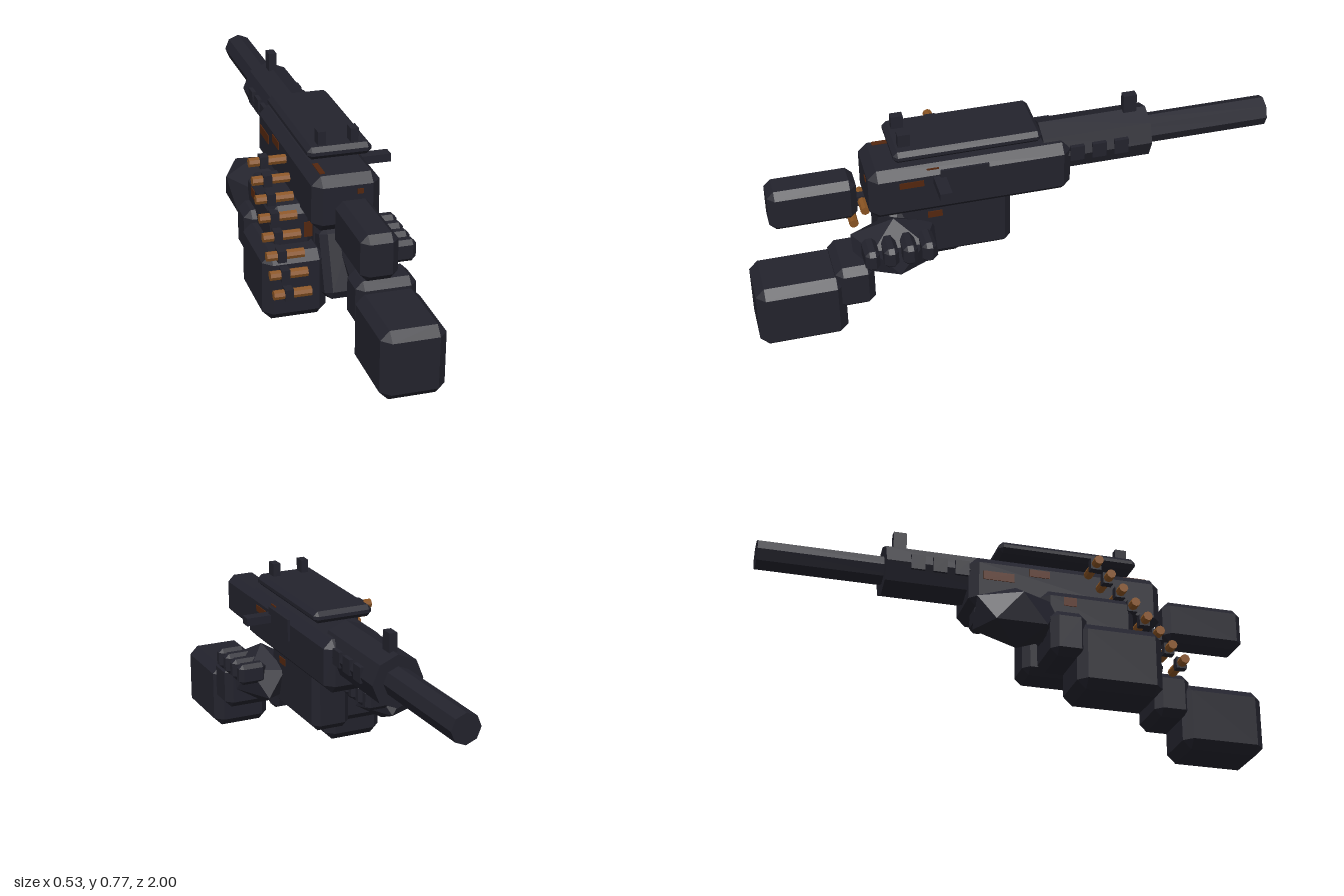
import * as THREE from 'three';
import { ConvexGeometry } from 'three/addons/geometries/ConvexGeometry.js';

const mat = (name, color) => {
  const m = new THREE.MeshStandardMaterial({ color, flatShading: true });
  m.name = name;
  return m;
};

export function createModel() {
  const root = new THREE.Group();
  root.name = 'heavyGun';
  const steel = mat('dark steel', 0x23232d);
  const brass = mat('brass', 0x8a5423);
  const rust = mat('rust', 0x54270f);

  const add = (name, geo, material, pos = [0, 0, 0], parent = root) => {
    const m = new THREE.Mesh(geo, material);
    m.name = name;
    m.position.set(...pos);
    parent.add(m);
    return m;
  };

  // Box given by its limits on each axis
  const size = (x, y, z) => [x[1] - x[0], y[1] - y[0], z[1] - z[0]];
  const mid = (x, y, z) => [(x[0] + x[1]) / 2, (y[0] + y[1]) / 2, (z[0] + z[1]) / 2];
  const box = (name, x, y, z, material = steel) =>
    add(name, new THREE.BoxGeometry(...size(x, y, z)), material, mid(x, y, z));

  // Box with bevelled edges and triangular corners
  const bevelled = (name, x, y, z, c) => {
    const h = size(x, y, z).map((v) => v / 2);
    const pts = [];
    for (const sx of [-1, 1]) for (const sy of [-1, 1]) for (const sz of [-1, 1]) {
      for (let k = 0; k < 3; k++) {
        const d = h.map((v, i) => (i === k ? v : v - c));
        pts.push(new THREE.Vector3(sx * d[0], sy * d[1], sz * d[2]));
      }
    }
    return add(name, new ConvexGeometry(pts), steel, mid(x, y, z));
  };

  // Eight-sided bar along z
  const bar = (name, r, z0, z1) => {
    const g = new THREE.CylinderGeometry(r, r, z1 - z0, 8).rotateX(Math.PI / 2);
    return add(name, g, steel, [0.026, 0.584, (z0 + z1) / 2]);
  };

  // Receiver, stock and lower housing
  bevelled('receiver', [-0.1, 0.148], [0.436, 0.643], [-0.21, 0.55], 0.033);
  bevelled('stock', [-0.042, 0.09], [0.416, 0.585], [0.585, 0.91], 0.026);
  bevelled('lowerReceiver', [-0.055, 0.1], [0.2, 0.46], [0.01, 0.42], 0.025);
  bevelled('feedBox', [-0.21, -0.05], [0.29, 0.48], [0.04, 0.4], 0.028);
  const grip = bevelled('pistolGrip', [-0.05, 0.09], [0.145, 0.405], [0.39, 0.51], 0.025);
  grip.rotation.x = -0.35;

  // Barrel, shroud and its side vents
  bar('barrel', 0.057, -1, -0.4);
  bar('barrelShroud', 0.1, -0.525, -0.11);
  for (const z of [-0.235, -0.32, -0.405]) {
    for (const s of [-1, 1]) {
      const x = 0.026 + s * 0.091;
      box('shroudVent', [x - 0.01, x + 0.01], [0.56, 0.62], [z - 0.027, z + 0.027]);
    }
  }

  // Top cover and sights
  bevelled('topCover', [-0.093, 0.142], [0.675, 0.72], [-0.095, 0.455], 0.016);
  box('frontSight', [0.01, 0.041], [0.66, 0.75], [-0.486, -0.435]);
  for (const x of [[-0.05, -0.021], [0.069, 0.098]]) {
    box('rearSight', x, [0.7, 0.77], [0.385, 0.43]);
  }

  // Charging handle
  box('handlePlate', [0.153, 0.162], [0.55, 0.635], [0.11, 0.29]);
  box('chargingHandle', [0.15, 0.26], [0.575, 0.606], [0.27, 0.315]);

  // Hand: a stretched icosahedron standing on a vertex
  const hand = (name, pos) => {
    const g = new THREE.IcosahedronGeometry(0.123, 0);
    g.rotateZ(Math.PI / 2 - Math.atan(1.618)).scale(1, 1, 1.5);
    add(name, g, steel, pos);
  };
  const fingers = (name, x, y, zs) => {
    for (const z of zs) bevelled(name, x, y, [z - 0.027, z + 0.027], 0.016);
  };

  // Right arm
  bevelled('rightForearm', [0.005, 0.24], [0, 0.264], [0.67, 1], 0.033);
  bevelled('rightWrist', [0.012, 0.235], [0.122, 0.302], [0.56, 0.705], 0.027);
  hand('rightHand', [0.123, 0.302, 0.465]);
  fingers('rightFinger', [0.155, 0.267], [0.306, 0.39], [0.36, 0.43, 0.5, 0.57]);

  // Left arm
  bevelled('leftForearm', [-0.263, -0.027], [0.08, 0.34], [0.16, 0.49], 0.033);
  bevelled('leftWrist', [-0.255, -0.035], [0.2, 0.38], [0.06, 0.2], 0.027);
  hand('leftHand', [-0.155, 0.368, -0.05]);
  fingers('leftFinger', [-0.13, -0.02], [0.34, 0.425], [-0.17, -0.11, -0.05, 0.01]);

  // Ammunition belt hanging down toward the rear
  const round = new THREE.CylinderGeometry(0.018, 0.018, 0.137, 8).rotateZ(Math.PI / 2);
  for (let i = 0; i < 8; i++) {
    const y = 0.604 - i * 0.0523;
    const z = 0.248 + i * 0.0468;
    add('beltRound', round, brass, [-0.185, y, z]);
    box('beltLink', [-0.215, -0.184], [y - 0.022, y + 0.022], [z - 0.02, z + 0.02]);
  }

  // Worn rust patches, as thin plates
  const patch = (x, y, z) => box('rustPatch', x, y, z, rust);
  patch([0.146, 0.151], [0.572, 0.597], [0.35, 0.44]);
  patch([0.125, 0.133], [0.622, 0.63], [0.29, 0.335]);
  patch([0.098, 0.103], [0.385, 0.412], [0.275, 0.33]);
  patch([0.057, 0.08], [0.577, 0.596], [0.548, 0.553]);
  patch([-0.103, -0.098], [0.54, 0.575], [-0.16, -0.04]);
  patch([-0.103, -0.098], [0.575, 0.605], [0.02, 0.1]);
  patch([-0.213, -0.208], [0.415, 0.45], [0.12, 0.17]);
  patch([-0.092, -0.061], [0.36, 0.418], [0.398, 0.403]);
  patch([-0.065, -0.045], [0.64, 0.646], [0.41, 0.5]);
  return root;
}
